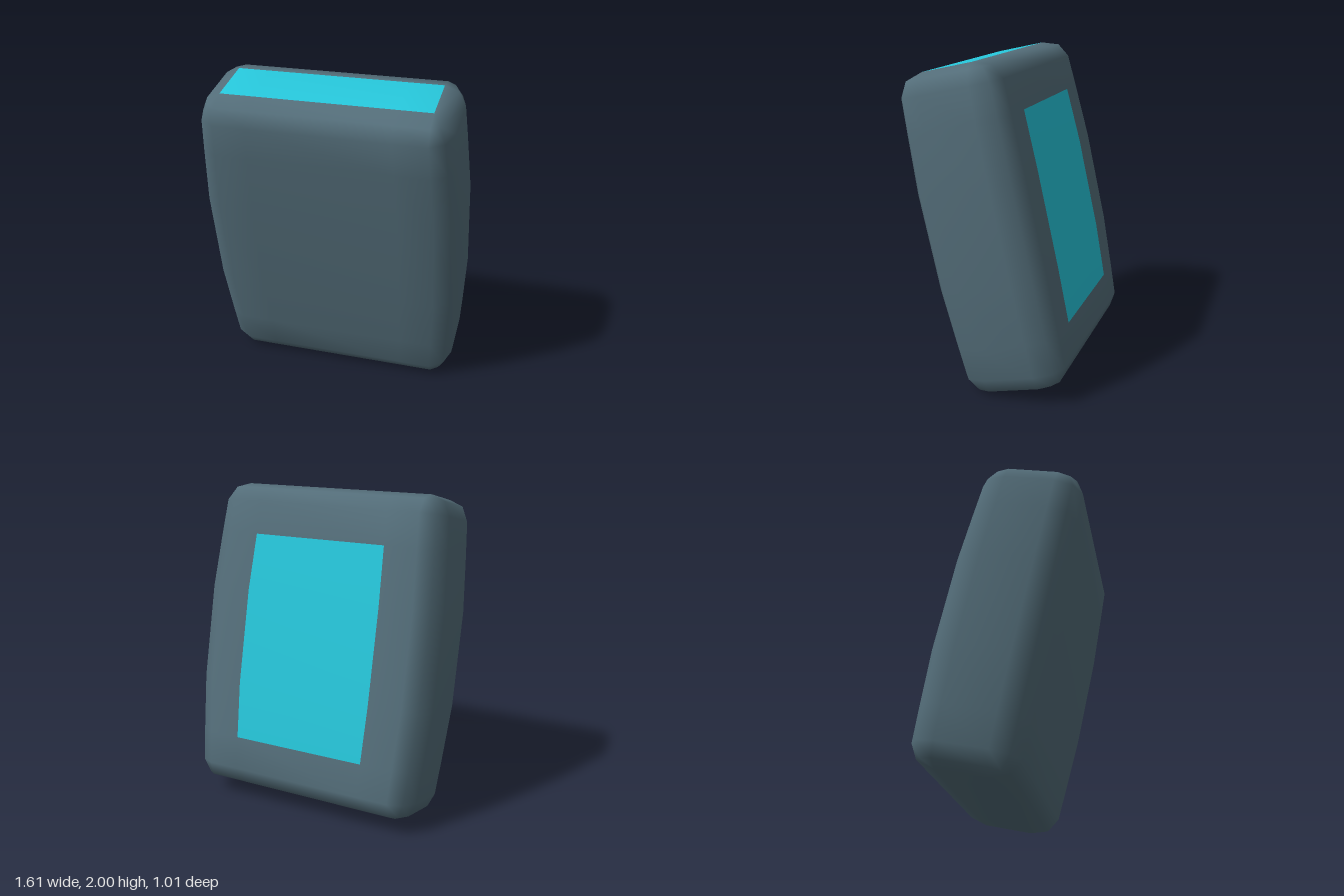
import * as THREE from 'three';
import { mergeVertices } from 'three/addons/utils/BufferGeometryUtils.js';

// Quarter outlines [x, z] of the cross-sections, from the side round to the front
const CAP = [[0.64, 0.158], [0.64, 0.158], [0.64, 0.158]];
const RIM = [[0.725, 0.158], [0.69, 0.235], [0.64, 0.272]];
const SHOULDER = [[0.765, 0.158], [0.727, 0.272], [0.64, 0.324]];
const BELLY = [[0.807, 0.165], [0.767, 0.285], [0.675, 0.343]];
const mix = (a, b, t) => a.map((p, i) => p.map((v, k) => v + (b[i][k] - v) * t));

const UPPER = [[0.3, BELLY], [0.66, mix(BELLY, SHOULDER, 0.6)], [0.867, SHOULDER], [0.955, RIM], [0.99, CAP]];
const LEVELS = [...UPPER.map(([y, q]) => [-y, q]).reverse(), ...UPPER];

// Mirrors a quarter outline into a full 16-point ring; the extra point marks the panel edge
function ring(y, quarter) {
  const c = quarter[2];
  const q = [...quarter, [c[0] * 0.68, c[1]]];
  const r = [...q].reverse();
  const flip = (list, sx, sz) => list.map(([x, z]) => [x * sx, y, z * sz]);
  return [...flip(q, 1, 1), ...flip(r, -1, 1), ...flip(q, -1, -1), ...flip(r, 1, -1)];
}

function shellGeometry() {
  const N = 16;
  const positions = LEVELS.flatMap(([y, q]) => ring(y, q)).flat();
  const body = [], accent = [];
  const quad = (list, a, b, c, d) => list.push(a, b, c, a, c, d);

  // Walls, with the back panel taken from the middle of the back face
  for (let i = 0; i < LEVELS.length - 1; i++) {
    for (let j = 0; j < N; j++) {
      const k = (j + 1) % N;
      const isPanel = j === 11 && i >= 3 && i <= 5;
      quad(isPanel ? accent : body, i * N + j, (i + 1) * N + j, (i + 1) * N + k, i * N + k);
    }
  }
  // Coloured top and plain underside
  const t = (LEVELS.length - 1) * N;
  for (const [a, b, c, d] of [[0, 15, 12, 3], [3, 12, 11, 4], [4, 11, 8, 7]]) {
    quad(accent, t + a, t + b, t + c, t + d);
    quad(body, d, c, b, a);
  }

  let g = new THREE.BufferGeometry();
  g.setAttribute('position', new THREE.Float32BufferAttribute(positions, 3));
  g.setIndex([...body, ...accent]);
  g.addGroup(0, body.length, 0);
  g.addGroup(body.length, accent.length, 1);
  g = mergeVertices(g);
  g.computeVertexNormals();
  return g;
}

export function createModel() {
  const slate = new THREE.MeshStandardMaterial({ color: 0x546e7a });
  slate.name = 'slate';
  const cyan = new THREE.MeshStandardMaterial({ color: 0x26c6da });
  cyan.name = 'cyan';

  // Rounded block leaning forward
  const block = new THREE.Mesh(shellGeometry(), [slate, cyan]);
  block.name = 'roundedBlock';
  block.rotation.x = THREE.MathUtils.degToRad(12.6);
  block.position.y = 1;

  const model = new THREE.Group();
  model.name = 'tiltedBlock';
  model.add(block);
  return model;
}
